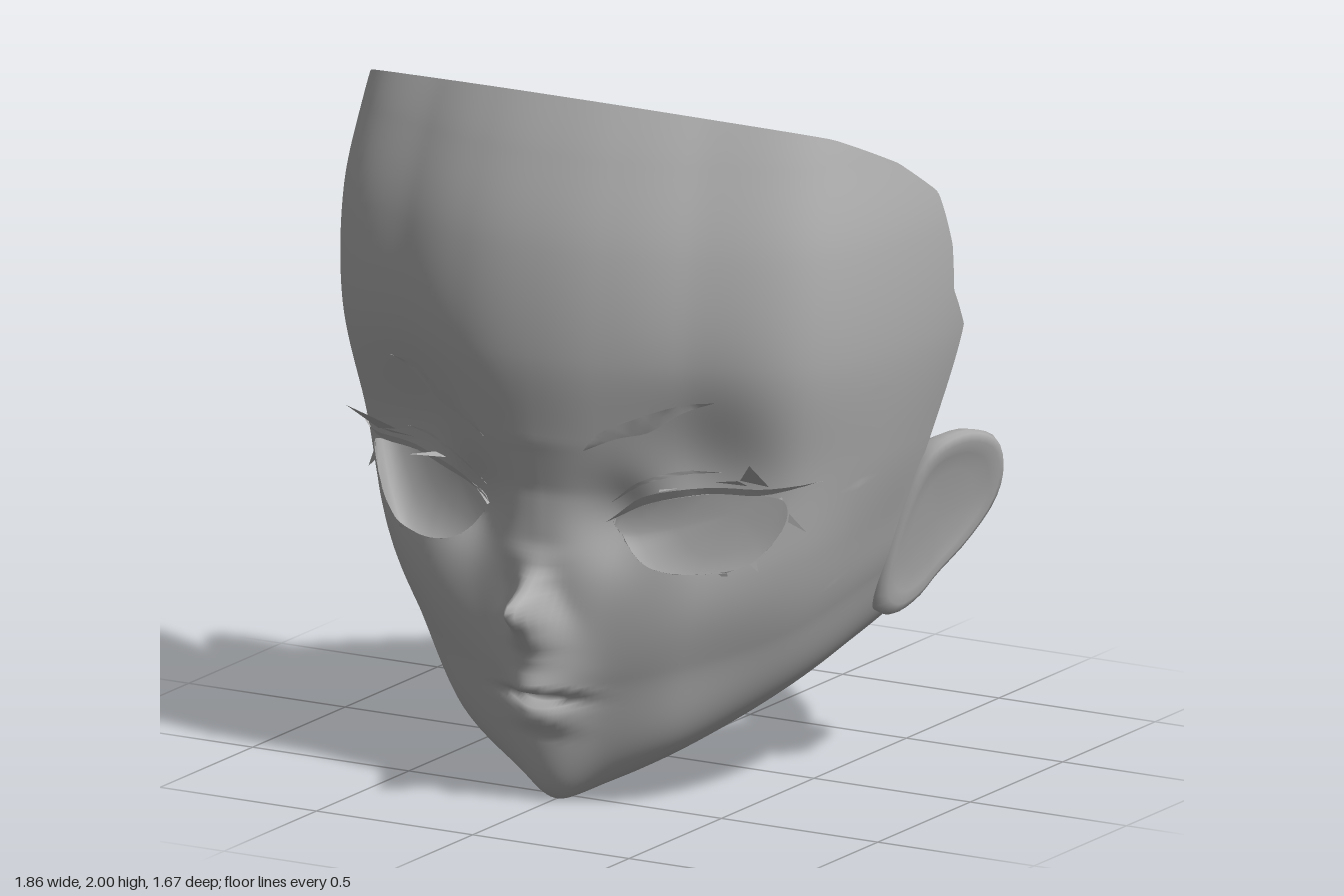
import * as THREE from 'three';
import { mergeVertices } from 'three/addons/utils/BufferGeometryUtils.js';

const skin = new THREE.MeshStandardMaterial({ color: 0xb0b0b0, side: THREE.DoubleSide });
skin.name = 'matte grey';
const V = (p) => new THREE.Vector3(p[0], p[1], p[2] || 0);
const lerp = THREE.MathUtils.lerp;

// Half cross-sections of the head, from front centre round to back centre
const neckRing = [[0, .07, .14], [.1, .075, .12], [.18, .11, .06], [.27, .18, -.04],
  [.34, .26, -.2], [.29, .29, -.35], [.16, .29, -.45], [0, .29, -.48]];
const jawRing = [[0, 0, .545], [.13, .055, .51], [.33, .165, .43], [.495, .285, .21],
  [.57, .38, -.04], [.57, .46, -.36], [.36, .48, -.61], [0, .48, -.67]];
const mouthRing = [[0, .33, .64], [.16, .36, .615], [.39, .42, .535], [.6, .5, .315],
  [.685, .6, -.03], [.69, .66, -.38], [.42, .64, -.68], [0, .64, -.79]];
const cheekRing = [[0, .65, .66], [.2, .66, .635], [.45, .68, .575], [.665, .72, .375],
  [.745, .78, -.03], [.73, .8, -.37], [.5, .78, -.7], [0, .75, -.87]];
// Skull section as fractions of half-width and depth
const section = [[0, 1], [.24, .975], [.5, .88], [.865, .64], [1, 0], [.875, -.54], [.55, -.87], [0, -1]];
const skullRing = (y, w, front, zc) => section.map(([x, d]) => [x * w, y, zc + d * (d > 0 ? front - zc : .9)]);
const rings = [neckRing, jawRing, mouthRing, cheekRing,
  skullRing(1, .81, .685, -.05), skullRing(1.3, .873, .72, -.08), skullRing(1.6, .883, .692, -.1),
  skullRing(1.85, .845, .61, -.1), skullRing(2.06, .8, .51, -.1)];

// Centre-line relief of nose and lips: height, depth, half-width
const relief = [[.2, 0, .1], [.25, .035, .09], [.285, .025, .1], [.312, -.035, .1], [.32, -.01, .1], [.332, .055, .1],
  [.346, .07, .09], [.4, .05, .1], [.45, .055, .09], [.52, .105, .07], [.57, .168, .05],
  [.6, .168, .042], [.63, .09, .04], [.68, .02, .05], [.75, -.01, .08], [.9, -.02, .14], [1.05, 0, .15]];

function spline(get, t) {
  const i = Math.floor(t), f = t - i, a = get(i - 1), b = get(i), c = get(i + 1), d = get(i + 2);
  return b.map((_, k) => .5 * (2 * b[k] + (c[k] - a[k]) * f + (2 * a[k] - 5 * b[k] + 4 * c[k] - d[k]) * f * f
    + (3 * b[k] - a[k] - 3 * c[k] + d[k]) * f ** 3));
}

const bump = (x, y, cx, cy, sx, sy) => Math.exp(-(((x - cx) / sx) ** 2) - ((y - cy) / sy) ** 2);

function headPoint(u, v) {
  const onRing = (ring) => spline((i) => {
    const j = Math.abs(i), k = j > 7 ? 14 - j : j, p = ring[k];
    return i < 0 || i > 7 ? [-p[0], p[1], p[2]] : p;
  }, Math.abs(u));
  const curved = V(spline((j) => onRing(rings[Math.min(Math.max(j, 0), 8)]), v));
  // Underside is flatter below the chin and rounder toward the back
  if (v < 1) curved.lerp(V(onRing(neckRing)).lerp(V(onRing(jawRing)), v), lerp(.6, .15, Math.min(1, Math.abs(u) / 2.5)));
  let { x, y, z } = curved;
  if (z > .2 && v > 1) {
    const i = relief.findIndex((r, k) => k > 0 && y >= relief[k - 1][0] && y < r[0]);
    if (i > 0) {
      const a = relief[i - 1], b = relief[i], f = (y - a[0]) / (b[0] - a[0]);
      z += lerp(a[1], b[1], f) * Math.exp(-((x / lerp(a[2], b[2], f)) ** 2));
    }
    // Eye hollows
    z -= .065 * bump(x, y, .46, .96, .23, .26) + .065 * bump(x, y, .23, .83, .115, .13);
  }
  return new THREE.Vector3(u < 0 ? -x : x, Math.max(y, 0), z);
}

// Signed distance to a polygon, positive inside
function inside(poly, x, y) {
  let d = Infinity, s = -1;
  for (let i = 0, j = poly.length - 1; i < poly.length; j = i++) {
    const [ax, ay] = poly[i], [bx, by] = poly[j], ex = bx - ax, ey = by - ay;
    const t = Math.min(1, Math.max(0, ((x - ax) * ex + (y - ay) * ey) / (ex * ex + ey * ey)));
    d = Math.min(d, Math.hypot(x - ax - ex * t, y - ay - ey * t));
    if ((ay > y) !== (by > y) && x < ex * (y - ay) / ey + ax) s = -s;
  }
  return s * d;
}

// Keeps the part of each triangle where f is positive
function clip(tris, f) {
  const out = [];
  for (const tri of tris) {
    const d = tri.map(f), poly = [];
    tri.forEach((p, i) => {
      const j = (i + 1) % 3;
      if (d[i] >= 0) poly.push(p);
      if (d[i] >= 0 !== d[j] >= 0) poly.push(p.clone().lerp(tri[j], d[i] / (d[i] - d[j])));
    });
    for (let i = 2; i < poly.length; i++) out.push([poly[0], poly[i - 1], poly[i]]);
  }
  return out;
}

const smoothLoop = (pts, n) => new THREE.CatmullRomCurve3(pts.map(V), true).getPoints(n).slice(0, n).map((p) => [p.x, p.y]);
const eyeLine = smoothLoop([[.65, .912], [.56, .922], [.465, .92], [.31, .885], [.2, .825], [.225, .785], [.27, .735],
  [.33, .706], [.465, .7], [.57, .725], [.635, .8], [.66, .87]], 48);
const earLine = smoothLoop([[-.09, .93], [-.13, .98], [-.2, 1], [-.27, .97], [-.31, .88], [-.31, .78], [-.26, .66],
  [-.2, .57], [-.16, .5], [-.11, .465], [-.07, .49], [-.05, .6], [-.06, .8]], 40);
// Side outline (z, y) of the open shell
const shellLine = [[.95, -.2], [.95, 2], [.54, 2], [.3, 1.92], [.1, 1.82], [-.05, 1.71], [-.1, 1.55], [-.11, 1.42],
  [-.19, 1.3], [-.1, .94], [-.12, .9], [-.3, .87], [-.53, .76], [-.7, .715], [-.83, .7], [-1.3, .69], [-1.3, -.2]];

// Grid surface from a point function
function grid(nu, nv, at) {
  const pts = [], tris = [];
  for (let j = 0; j <= nv; j++) for (let i = 0; i <= nu; i++) pts.push(at(i / nu, j / nv, i, j));
  for (let j = 0; j < nv; j++) for (let i = 0; i < nu; i++) {
    const a = j * (nu + 1) + i, b = a + 1, c = a + nu + 1, d = c + 1;
    tris.push([pts[a], pts[b], pts[d]], [pts[a], pts[d], pts[c]]);
  }
  return { pts, tris };
}

function toMesh(name, tris) {
  const g = mergeVertices(new THREE.BufferGeometry().setFromPoints(tris.flat()), 1e-4);
  g.computeVertexNormals();
  const m = new THREE.Mesh(g, skin);
  m.name = name;
  return m;
}

// Nested copies of an outline joined into a dish; each profile row is x scale, y scale, depth
function dish(name, outline, profile, place) {
  const n = outline.length;
  const c = [0, 1].map((k) => outline.reduce((s, p) => s + p[k], 0) / n);
  return toMesh(name, grid(n, profile.length - 1, (u, v, i, j) => {
    const p = outline[i % n], [sx, sy, k] = profile[j];
    return place(c[0] + (p[0] - c[0]) * sx, c[1] + (p[1] - c[1]) * sy, k);
  }).tris);
}

export function createModel() {
  const model = new THREE.Group();

  // Face shell with eye openings, open top, back and neck
  const head = grid(160, 176, (u, v) => headPoint((u * 2 - 1) * 7, v * 8));
  let tris = clip(head.tris, (p) => inside(shellLine, p.z, p.y));
  tris = clip(tris, (p) => (p.z > 0 ? -inside(eyeLine, Math.abs(p.x), p.y) : 1));
  model.add(toMesh('faceShell', tris));

  const front = head.pts.filter((p) => p.z > .1 && p.x >= -.03 && p.y > .5 && p.y < 1.3);
  const faceZ = (x, y) => {
    let sum = 0, total = 0;
    for (const p of front) {
      const w = 1 / ((p.x - x) ** 2 + (p.y - y) ** 2 + 1e-5) ** 2;
      sum += w * p.z;
      total += w;
    }
    return sum / total;
  };
  const onFace = (x, y, lift) => new THREE.Vector3(x, y, faceZ(x, y) + lift);

  // Thin strip between an upper and a lower edge, resting on the face
  const strip = (name, upper, lower, lift) => {
    const [a, b] = [upper, lower].map((e) => new THREE.CatmullRomCurve3(e.map(V)));
    return toMesh(name, grid(16, 2, (u, v) => {
      const p = a.getPoint(u).lerp(b.getPoint(u), v);
      return onFace(p.x, p.y, lerp(lift, .006, v));
    }).tris);
  };
  const spike = (name, a, b, tip) => toMesh(name, [[onFace(a[0], a[1], .004), onFace(b[0], b[1], .004), V(tip)]]);

  const half = new THREE.Group();
  half.name = 'leftFeatures';
  // Deep eye pocket behind the opening, its outer end raised
  half.add(dish('eyePocket', eyeLine, [[1, 1, 1], [1.08, 1.35, .9], [1.16, 1.9, .74], [1.22, 2.25, .52], [1.22, 2.15, .3],
    [1.05, 1.6, .1], [.65, .9, .02], [0, 0, 0]],
    (x, y, k) => {
      const raised = y + .35 * (x - .43) * (1 - k);
      return new THREE.Vector3(x, raised, lerp(.446 - .258 * x, faceZ(x, raised), k));
    }));
  // Ear, a shallow plate swept outward and back, thick behind
  half.add(dish('ear', earLine, [[0, .005], [.55, .008], [.75, .018], [.88, .025], [.97, .018], [1, 0], [.98, -.045],
    [.88, -.1], [.6, -.14], [0, -.15]].map(([s, k]) => [s, s, k]),
    (z, y, k) => new THREE.Vector3(.68 + .28 * (y - .5) + .62 * (-.1 - z) + .85 * k, y, z + .2 * k)));
  // Eyebrow
  half.add(strip('eyebrow', [[.52, 1.2], [.42, 1.185], [.3, 1.14], [.2, 1.09], [.16, 1.04]],
    [[.52, 1.2], [.43, 1.165], [.33, 1.1], [.25, 1.08], [.16, 1.04]], .01));
  // Upper lash line and lid fold
  half.add(strip('upperLash', [[.19, .825], [.3, .908], [.465, .942], [.6, .945], [.73, .955]],
    [[.19, .825], [.31, .887], [.465, .922], [.6, .924], [.73, .955]], .02));
  half.add(strip('lidFold', [[.2, .88], [.29, .95], [.4, .985], [.5, .985]],
    [[.2, .88], [.3, .943], [.4, .974], [.5, .985]], .008));
  // Lash points
  half.add(spike('outerLash', [.48, .955], [.57, .95], [.575, .98, .54]));
  half.add(spike('outerLash', [.55, .965], [.625, .95], [.645, 1.045, .595]));
  half.add(spike('middleLash', [.34, .93], [.39, .935], [.4, .955, .67]));
  half.add(spike('sideLash', [.66, .845], [.665, .87], [.7, .815, .38]));
  half.add(spike('lowerLash', [.505, .702], [.525, .705], [.525, .675, .5]));
  half.add(spike('lowerLash', [.575, .727], [.59, .737], [.595, .705, .46]));
  model.add(half);

  // Mirrored features, with the corner order reversed
  const other = new THREE.Group();
  other.name = 'rightFeatures';
  for (const m of half.children) {
    const g = m.geometry.clone().scale(-1, 1, 1), idx = g.index.array;
    for (let i = 0; i < idx.length; i += 3) [idx[i], idx[i + 1]] = [idx[i + 1], idx[i]];
    g.computeVertexNormals();
    const copy = new THREE.Mesh(g, skin);
    copy.name = m.name;
    other.add(copy);
  }
  model.add(other);

  // Mouth cavity, a rounded pocket opening forward
  const round = (t) => Math.sign(t) * Math.abs(t) ** .75;
  model.add(toMesh('mouthCavity', grid(40, 14, (u, v) => {
    const a = u * Math.PI * 2, b = v * Math.PI / 2;
    return new THREE.Vector3(.27 * round(Math.cos(a)) * round(Math.cos(b)),
      .34 + .185 * round(Math.sin(a)) * round(Math.cos(b)), .44 - .34 * round(Math.sin(b)));
  }).tris));
  return model;
}
